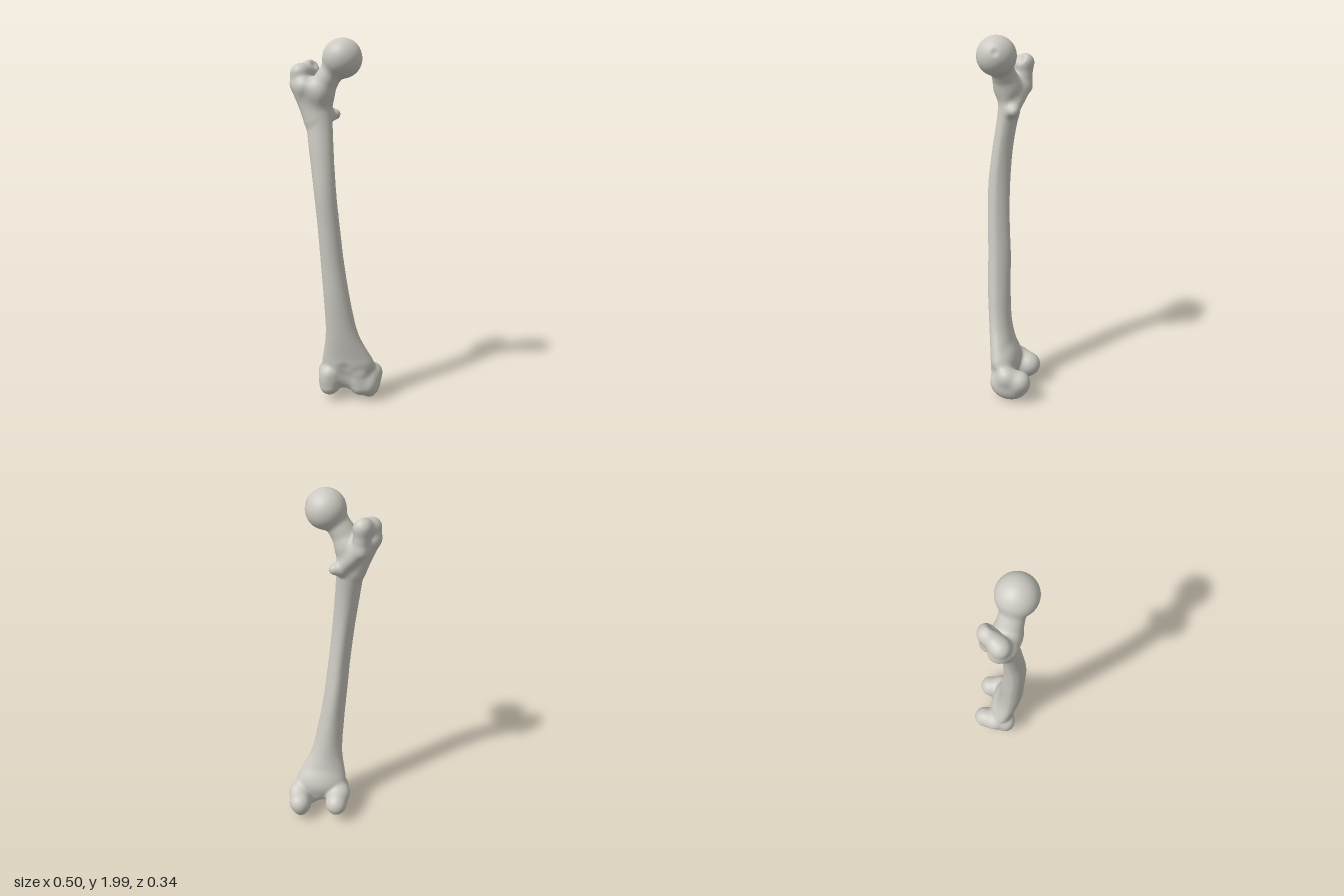
import * as THREE from 'three';

const { clamp, lerp } = THREE.MathUtils;

// smooth union of two distances, k is the fillet width
function blend(a, b, k) {
  const h = Math.max(k - Math.abs(a - b), 0) / k;
  return Math.min(a, b) - h * h * k * 0.25;
}

const ball = (c, r) => (x, y, z) => Math.hypot(x - c[0], y - c[1], z - c[2]) - r;

// approximate distance to an ellipsoid
function ellipsoid(c, r) {
  return (x, y, z) => {
    const px = (x - c[0]) / r[0], py = (y - c[1]) / r[1], pz = (z - c[2]) / r[2];
    const k0 = Math.hypot(px, py, pz) + 1e-9;
    const k1 = Math.hypot(px / r[0], py / r[1], pz / r[2]) + 1e-9;
    return k0 * (k0 - 1) / k1;
  };
}

// tapered capsule between two knots [x, y, z, radius]
function capsule(a, b) {
  const d = [0, 1, 2].map((i) => b[i] - a[i]);
  const len2 = d[0] * d[0] + d[1] * d[1] + d[2] * d[2];
  return (x, y, z) => {
    const px = x - a[0], py = y - a[1], pz = z - a[2];
    const t = clamp((px * d[0] + py * d[1] + pz * d[2]) / len2, 0, 1);
    return Math.hypot(px - t * d[0], py - t * d[1], pz - t * d[2]) - lerp(a[3], b[3], t);
  };
}

// rounded ridge running through several knots
function ridge(...knots) {
  const links = knots.slice(1).map((knot, i) => capsule(knots[i], knot));
  return (x, y, z) => links.reduce((d, link) => blend(d, link(x, y, z), 0.02), 1);
}

// shaft cross-sections every 0.2 up from y = 0.2: xMin, xMax, zMin, zMax
const SECTIONS = [
  [-0.09, 0.21, -0.06, 0.085],
  [-0.063, 0.12, -0.015, 0.11],
  [-0.07, 0.075, 0, 0.127],
  [-0.085, 0.043, 0.005, 0.132],
  [-0.1, 0.02, 0.017, 0.138],
  [-0.12, 0, 0.02, 0.14],
  [-0.145, -0.015, 0.01, 0.12],
  [-0.175, -0.026, -0.02, 0.095],
  [-0.235, -0.03, -0.05, 0.1],
];

// Catmull-Rom value of one section column at height y
function section(y, col) {
  const last = SECTIONS.length - 1;
  const s = clamp((y - 0.2) / 0.2, 0, last);
  const i = Math.min(Math.floor(s), last - 1), t = s - i;
  const v = (n) => SECTIONS[clamp(n, 0, last)][col];
  const p0 = v(i - 1), p1 = v(i), p2 = v(i + 1), p3 = v(i + 2);
  return p1 + 0.5 * t * (p2 - p0 + t * (2 * p0 - 5 * p1 + 4 * p2 - p3 + t * (3 * (p1 - p2) + p3 - p0)));
}

// oval shaft, narrowing to a ridge at the back around mid-height
function shaft(x, y, z) {
  const x0 = section(y, 0), x1 = section(y, 1), z0 = section(y, 2), z1 = section(y, 3);
  const rx = (x1 - x0) / 2, rz = (z1 - z0) / 2;
  const pz = (z - (z0 + z1) / 2) / rz;
  const pinch = 0.3 * Math.sin(Math.PI * clamp((y - 0.2) / 1.6, 0, 1)) * clamp(-pz, 0, 1);
  const px = (x - (x0 + x1) / 2) / rx / (1 - pinch);
  const k0 = Math.hypot(px, pz) + 1e-9, k1 = Math.hypot(px / rx, pz / rz) + 1e-9;
  const caps = Math.max(y - 1.74, 0.17 - y);
  return -blend(-k0 * (k0 - 1) / k1, -caps, 0.08);
}

// knuckle of the knee: roller, rounded back, outer bump and front lip
function condyle(x, low, side, lipX, lipZ) {
  return [
    [0.025, ellipsoid([x, low + 0.09, -0.045], [0.062, 0.088, 0.108])],
    [0.025, ball([x + 0.005, 0.125, -0.107], 0.059)],
    [0.04, ball([x + side * 0.026, 0.157, -0.035], 0.045)],
    [0.03, capsule([lipX, 0.16, lipZ, 0.045], [lipX, 0.09, lipZ - 0.01, 0.053])],
  ];
}

// neck, running from the front of the greater trochanter to the head
const neck = ridge([-0.17, 1.75, 0.06, 0.05], [-0.09, 1.73, 0.045, 0.068], [0, 1.87, 0.06, 0.06]);

// greater trochanter: outer side, crest, then down the back to the lesser trochanter
const trochanters = ridge(
  [-0.13, 1.58, 0.04, 0.045],
  [-0.2, 1.765, 0.025, 0.05],
  [-0.2, 1.82, 0.03, 0.046],
  [-0.155, 1.842, -0.035, 0.044],
  [-0.15, 1.72, -0.035, 0.038],
  [-0.045, 1.6, 0, 0.03],
  [-0.018, 1.605, -0.012, 0.028],
);

// masses added to the shaft: [fillet width, distance function]
const MASSES = [
  [0.05, neck],
  [0.03, trochanters],
  [0.02, ball([0.03, 1.896, 0.065], 0.104)],
  [0.04, ellipsoid([0.06, 0.19, 0], [0.13, 0.1, 0.07])],
  [0.03, capsule([-0.05, 0.14, 0.03, 0.052], [0.14, 0.11, 0, 0.052])],
  ...condyle(0.175, 0.007, 1, 0.125, 0.025),
  ...condyle(-0.04, 0.027, -1, -0.045, 0.045),
];

// hollows: pit in the head, dip beside the trochanter, front groove of the knee
const HOLLOWS = [
  [0.015, ball([0.143, 1.927, 0.04], 0.02)],
  [0.03, ball([-0.115, 1.875, -0.01], 0.024)],
  [0.04, capsule([0.045, 0.2, 0.115, 0.025], [0.055, 0.04, 0.08, 0.035])],
];

function field(x, y, z) {
  let d = shaft(x, y, z);
  for (const [k, f] of MASSES) d = blend(d, f(x, y, z), k);
  for (const [k, f] of HOLLOWS) d = -blend(-d, f(x, y, z), k);
  return d;
}

function gradient(x, y, z) {
  const e = 0.003;
  return new THREE.Vector3(
    field(x + e, y, z) - field(x - e, y, z),
    field(x, y + e, z) - field(x, y - e, z),
    field(x, y, z + e) - field(x, y, z - e),
  ).normalize();
}

// skin the blended masses with quads: returns surface points and quads
function skin(min, max, cell) {
  const n = min.map((v, i) => Math.ceil((max[i] - v) / cell) + 1);
  const step = [1, n[0], n[0] * n[1]];
  const dist = new Float32Array(n[0] * n[1] * n[2]);
  const eachCell = (from, to, fn) => {
    for (let k = from; k < n[2] - to; k++)
      for (let j = from; j < n[1] - to; j++)
        for (let i = from; i < n[0] - to; i++) fn(i, j, k, i + j * step[1] + k * step[2]);
  };
  eachCell(0, 0, (i, j, k, id) => {
    dist[id] = field(min[0] + i * cell, min[1] + j * cell, min[2] + k * cell);
  });

  // one point in each cell the surface crosses
  const pointOf = new Int32Array(dist.length).fill(-1), points = [], quads = [];
  eachCell(0, 1, (i, j, k, id) => {
    const sum = [0, 0, 0];
    let hits = 0;
    for (let c = 0; c < 8; c++) {
      const o = [c & 1, (c >> 1) & 1, c >> 2];
      const a = id + o[0] + o[1] * step[1] + o[2] * step[2];
      for (let ax = 0; ax < 3; ax++) {
        if (o[ax] || (dist[a] < 0) === (dist[a + step[ax]] < 0)) continue;
        const t = dist[a] / (dist[a] - dist[a + step[ax]]);
        for (let m = 0; m < 3; m++) sum[m] += o[m] + (m === ax ? t : 0);
        hits++;
      }
    }
    if (!hits) return;
    const p = new THREE.Vector3(...[i, j, k].map((v, m) => min[m] + (v + sum[m] / hits) * cell));
    const normal = gradient(p.x, p.y, p.z);
    p.addScaledVector(normal, -clamp(field(p.x, p.y, p.z), -cell / 3, cell / 3));
    pointOf[id] = points.length;
    points.push({ p, normal });
  });

  // one quad around each grid edge the surface crosses
  eachCell(1, 1, (i, j, k, id) => {
    for (let ax = 0; ax < 3; ax++) {
      const inside = dist[id] < 0;
      if (inside === (dist[id + step[ax]] < 0)) continue;
      const u = step[(ax + 1) % 3], v = step[(ax + 2) % 3];
      const q = [id - u - v, id - v, id, id - u].map((c) => pointOf[c]);
      quads.push(inside ? q : q.reverse());
    }
  });
  return { points, quads };
}

export function createModel() {
  const group = new THREE.Group();
  group.name = 'thighBone';
  const bone = new THREE.MeshStandardMaterial({ color: 0xcccac2 });
  bone.name = 'bone grey';
  const { points, quads } = skin([-0.3, -0.04, -0.22], [0.3, 2.04, 0.22], 0.01);
  // one mesh for the quads between two heights, sharing smooth normals at the joins
  const addPart = (name, low, high) => {
    const chosen = quads.filter((q) => points[q[0]].p.y >= low && points[q[0]].p.y < high);
    const corners = chosen.flatMap(([a, b, c, d]) => [a, b, c, a, c, d]).map((id) => points[id]);
    const geometry = new THREE.BufferGeometry().setFromPoints(corners.map((c) => c.p));
    const normals = corners.flatMap((c) => c.normal.toArray());
    geometry.setAttribute('normal', new THREE.Float32BufferAttribute(normals, 3));
    const mesh = new THREE.Mesh(geometry, bone);
    mesh.name = name;
    group.add(mesh);
  };
  addPart('upperEnd', 1.52, 3);
  addPart('shaft', 0.35, 1.52);
  addPart('lowerEnd', -1, 0.35);
  return group;
}
